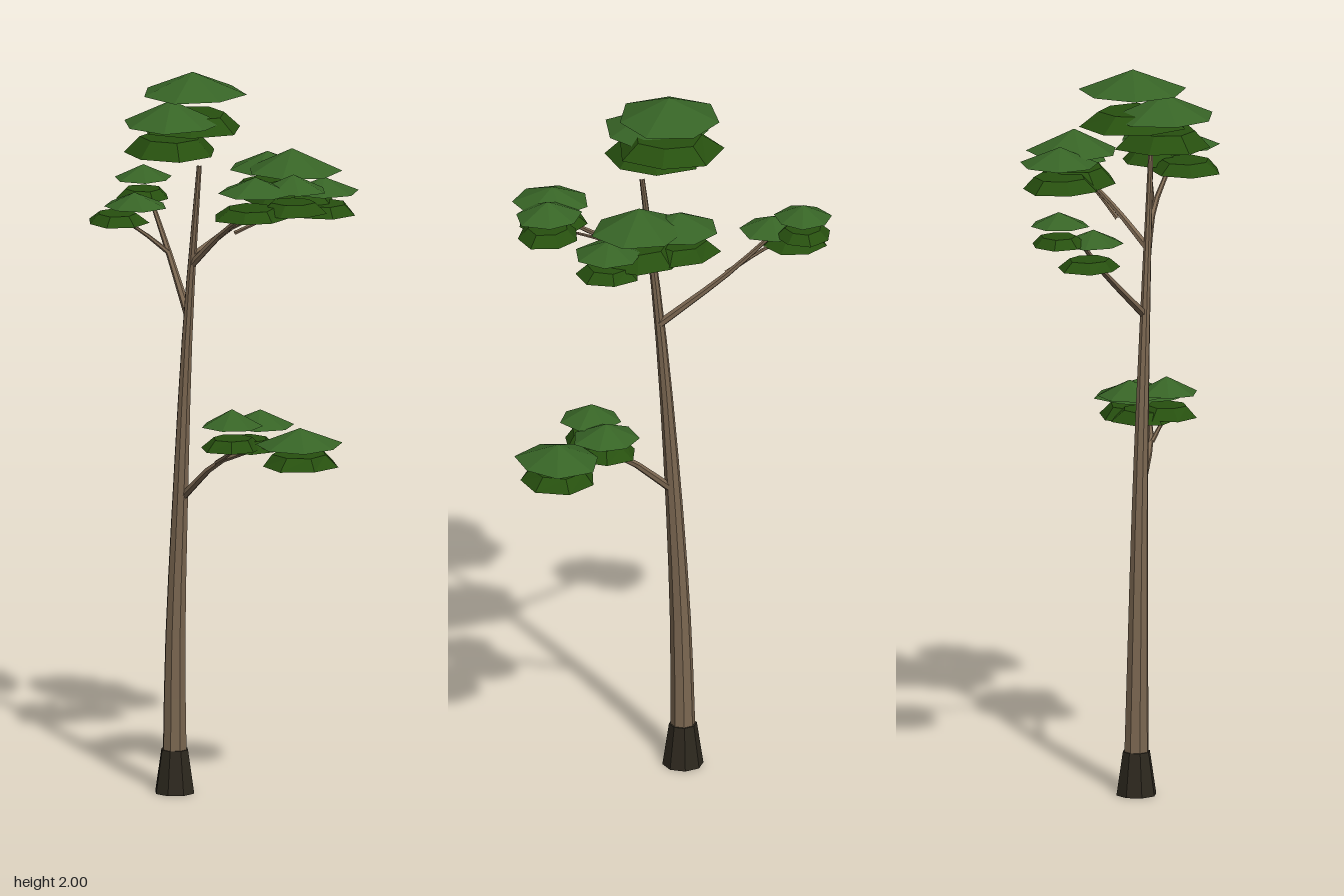
import * as THREE from 'three';

const flat = (name, color) => new THREE.MeshStandardMaterial({ name, color, flatShading: true });

export function createModel() {
  const bark = flat('bark', 0x7b6751);
  const darkBark = flat('dark bark', 0x2d281e);
  const leaf = flat('leaf green', 0x376426);
  const shadeLeaf = flat('deep leaf green', 0x27500f);

  const tree = new THREE.Group();
  tree.name = 'tree';
  const add = (parent, name, geometry, material) => {
    const mesh = new THREE.Mesh(geometry, material);
    mesh.name = name;
    parent.add(mesh);
    return mesh;
  };

  // Tapered limb: a tube whose rings are scaled about the curve
  function limb(name, points, r0, r1, segments = 5, sides = 6) {
    const curve = new THREE.CatmullRomCurve3(points.map((p) => new THREE.Vector3(...p)));
    const geometry = new THREE.TubeGeometry(curve, segments, 1, sides);
    const pos = geometry.attributes.position;
    const v = new THREE.Vector3();
    for (let i = 0; i < pos.count; i++) {
      const t = Math.floor(i / (sides + 1)) / segments;
      const c = curve.getPointAt(t);
      v.fromBufferAttribute(pos, i).sub(c).multiplyScalar(r0 + (r1 - r0) * t).add(c);
      pos.setXYZ(i, v.x, v.y, v.z);
    }
    return add(tree, name, geometry, bark);
  }

  // Trunk and root flare
  limb('trunk', [[-0.1, 0.1, 0.005], [-0.097, 0.4, 0.01], [-0.078, 0.83, 0.022],
    [-0.047, 1.33, 0.045], [-0.006, 1.757, 0.072]], 0.034, 0.007, 10, 8);
  add(tree, 'rootFlare', new THREE.CylinderGeometry(0.038, 0.056, 0.12, 8), darkBark)
    .position.set(-0.1, 0.06, 0.005);

  // Branches with their forks
  const branches = [
    ['lowBranch', [[-0.075, 0.82, 0.02], [0.06, 0.945, 0.09], [0.2, 1.0, 0.12]], 0.012],
    ['lowTwig', [[0.05, 0.94, 0.09], [0.1, 0.975, 0.13], [0.14, 1.01, 0.17]], 0.007],
    ['rightBranch', [[-0.045, 1.32, 0.04], [-0.16, 1.475, -0.11], [-0.23, 1.575, -0.19]], 0.012],
    ['rightTwig', [[-0.155, 1.47, -0.1], [-0.24, 1.51, -0.14], [-0.33, 1.54, -0.18]], 0.007],
    ['frontBranch', [[-0.03, 1.48, 0.055], [0.07, 1.58, 0.1], [0.19, 1.67, 0.18]], 0.011],
    ['frontTwig', [[0.07, 1.58, 0.1], [0.16, 1.63, 0.12], [0.26, 1.68, 0.14]], 0.006],
    ['backBranch', [[-0.03, 1.5, 0.055], [0.08, 1.59, -0.005], [0.18, 1.66, -0.06]], 0.011],
    ['backTwig', [[0.07, 1.56, 0.0], [0.15, 1.6, -0.02], [0.27, 1.65, -0.05]], 0.006],
  ];
  for (const [name, points, r] of branches) limb(name, points, r, r * 0.5);

  // Uneven seven-sided rim, the same wobble for every height
  function wobble(geometry, seed) {
    const pos = geometry.attributes.position;
    for (let i = 0; i < pos.count; i++) {
      const x = pos.getX(i), z = pos.getZ(i);
      if (Math.hypot(x, z) < 1e-5) continue;
      const k = Math.round(Math.atan2(z, x) / (Math.PI * 2 / 7) * 2) + 14;
      const s = 1 + 0.07 * Math.sin((k % 14) * 2.3 + seed * 1.7);
      pos.setX(i, x * s);
      pos.setZ(i, z * s);
    }
    return geometry;
  }

  // Each leaf pad: a light cone over a separate deep green frustum
  // x, z, radius, cone base, cone top, frustum base, frustum x, frustum z
  const pads = [
    ['crownPad', -0.047, 0.01, 0.148, 1.94, 2.0, 1.845],
    ['crownPad', -0.08, 0.09, 0.14, 1.87, 1.935, 1.79],
    ['rightPad', -0.285, -0.265, 0.08, 1.635, 1.672, 1.58],
    ['rightPad', -0.275, -0.165, 0.088, 1.577, 1.615, 1.522, -0.335, -0.195],
    ['backPad', 0.112, -0.15, 0.112, 1.712, 1.76, 1.645],
    ['backPad', 0.205, -0.085, 0.13, 1.725, 1.787, 1.64],
    ['backPad', 0.305, -0.06, 0.092, 1.68, 1.72, 1.62],
    ['frontPad', 0.295, 0.16, 0.092, 1.727, 1.77, 1.665],
    ['frontPad', 0.205, 0.215, 0.105, 1.725, 1.767, 1.655, 0.195, 0.225],
    ['lowPad', 0.115, 0.15, 0.085, 1.06, 1.105, 0.995],
    ['lowPad', 0.165, 0.06, 0.092, 1.047, 1.09, 0.985, 0.135, 0.09],
    ['lowPad', 0.3, 0.12, 0.115, 1.012, 1.06, 0.957],
  ];
  pads.forEach(([name, x, z, r, base, top, low, fx = x, fz = z], i) => {
    const pad = new THREE.Group();
    pad.name = name;
    const turn = i * 1.1;
    const h = top - base;
    const cone = add(pad, 'upperLeaves', wobble(new THREE.ConeGeometry(r, h, 7), i), leaf);
    cone.position.set(x, base + h / 2, z);
    cone.rotation.y = turn;
    const fh = h * 0.68;
    const skirt = add(pad, 'lowerLeaves',
      wobble(new THREE.CylinderGeometry(r * 0.63, r * 0.95, fh, 7), i), shadeLeaf);
    skirt.position.set(fx, low + fh / 2, fz);
    skirt.rotation.y = turn + 0.3;
    tree.add(pad);
  });

  return tree;
}
